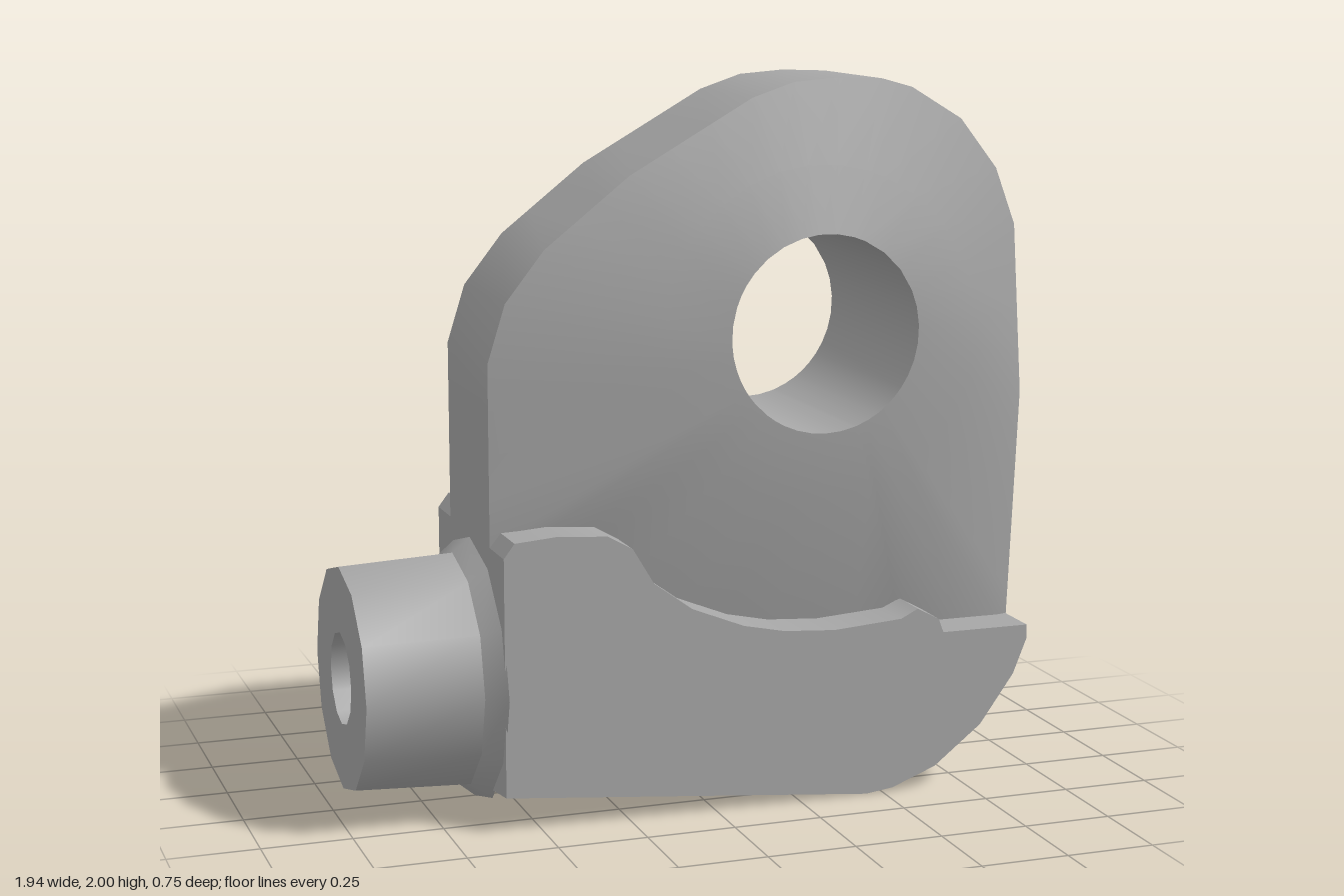
import * as THREE from 'three';
import { toCreasedNormals } from 'three/addons/utils/BufferGeometryUtils.js';

const EYE = new THREE.Vector2(0.33, 1.31);

// Outline of the upper plate, counterclockwise from the lower left
const PLATE = [
  [-0.6, 0.76], [-0.3, 0.76], [-0.2, 0.65], [-0.05, 0.54], [0.2, 0.47], [0.6, 0.47], [0.66, 0.41], [0.94, 0.4],
  [0.955, 0.75], [0.97, 1.1], [0.94, 1.58], [0.88, 1.74], [0.77, 1.88], [0.62, 1.97], [0.53, 1.995], [0.4, 2],
  [0.27, 1.99], [0.15, 1.95], [-0.2, 1.75], [-0.44, 1.56], [-0.55, 1.42], [-0.6, 1.26],
];

// Outline of the heavy lower jaw
const JAW = [
  [-0.6, 0], [0.45, 0], [0.53, 0.01], [0.66, 0.06], [0.8, 0.17], [0.9, 0.31], [0.94, 0.41], [0.94, 0.45],
  [0.68, 0.45], [0.665, 0.49], [0.6, 0.525], [0.55, 0.5], [0.35, 0.485], [0.2, 0.495], [0.08, 0.52],
  [-0.07, 0.58], [-0.18, 0.66], [-0.24, 0.76], [-0.31, 0.8], [-0.45, 0.81], [-0.57, 0.8], [-0.6, 0.76],
];

// Splits long edges of a closed outline
function densify(points, step) {
  const out = [];
  points.forEach((p, i) => {
    const a = new THREE.Vector2(...p);
    const b = new THREE.Vector2(...points[(i + 1) % points.length]);
    const n = Math.max(1, Math.round(a.distanceTo(b) / step));
    for (let k = 0; k < n; k++) out.push(a.clone().lerp(b, k / n));
  });
  return out;
}

// Skins a closed chain of rings that have equal point counts
function skin(rings) {
  const pos = [];
  const n = rings[0].length;
  rings.forEach((r, k) => {
    const s = rings[(k + 1) % rings.length];
    for (let i = 0; i < n; i++) {
      const j = (i + 1) % n;
      for (const v of [r[i], r[j], s[j], r[i], s[j], s[i]]) pos.push(...v);
    }
  });
  const g = new THREE.BufferGeometry();
  g.setAttribute('position', new THREE.Float32BufferAttribute(pos, 3));
  return toCreasedNormals(g, 0.45);
}

export function createModel() {
  const group = new THREE.Group();
  const steel = new THREE.MeshStandardMaterial({ color: 0xa6a6a6 });
  steel.name = 'steel grey';
  const add = (name, geometry) => {
    const mesh = new THREE.Mesh(geometry, steel);
    mesh.name = name;
    group.add(mesh);
    return mesh;
  };

  // Pierced upper plate: domed front, round raised boss on the back
  const edge = densify(PLATE, 0.12);
  const angles = edge.map((p) => p.clone().sub(EYE).angle());
  const rim = (z) => edge.map((p) => [p.x, p.y, z]);
  const circle = (r, z) => angles.map((a) => [
    EYE.x + r * Math.cos(a), EYE.y + r * Math.sin(a),
    typeof z === 'function' ? z(a) : z,
  ]);
  add('eyePlate', skin([
    rim(0.21),
    circle(0.46, (a) => 0.3 - 0.03 * Math.max(0, Math.sin(a))),
    circle(0.275, 0.315),
    circle(0.275, -0.315),
    circle(0.455, -0.315),
    circle(0.48, -0.25),
    rim(-0.21),
  ]));

  // Lower jaw, its front bottom corner cut upward
  const jaw = new THREE.ExtrudeGeometry(
    new THREE.Shape(JAW.map((p) => new THREE.Vector2(...p))),
    { depth: 0.695, bevelEnabled: false },
  ).translate(0, 0, -0.345);
  const p = jaw.attributes.position;
  for (let i = 0; i < p.count; i++) {
    if (p.getZ(i) > 0.3 && p.getX(i) < -0.59 && p.getY(i) < 0.01) p.setY(i, 0.1);
  }
  add('lowerJaw', toCreasedNormals(jaw, 0.45));

  // Bored side spigot with a flared collar
  const profile = [[0.375, 0.595], [0.33, 0.65], [0.315, 0.97], [0.13, 0.97], [0.13, 0.59]];
  const spigot = new THREE.LatheGeometry(profile.map((q) => new THREE.Vector2(...q)), 12);
  spigot.rotateZ(Math.PI / 2).translate(0, 0.375, 0);
  add('sideSpigot', toCreasedNormals(spigot, 0.55));

  return group;
}
